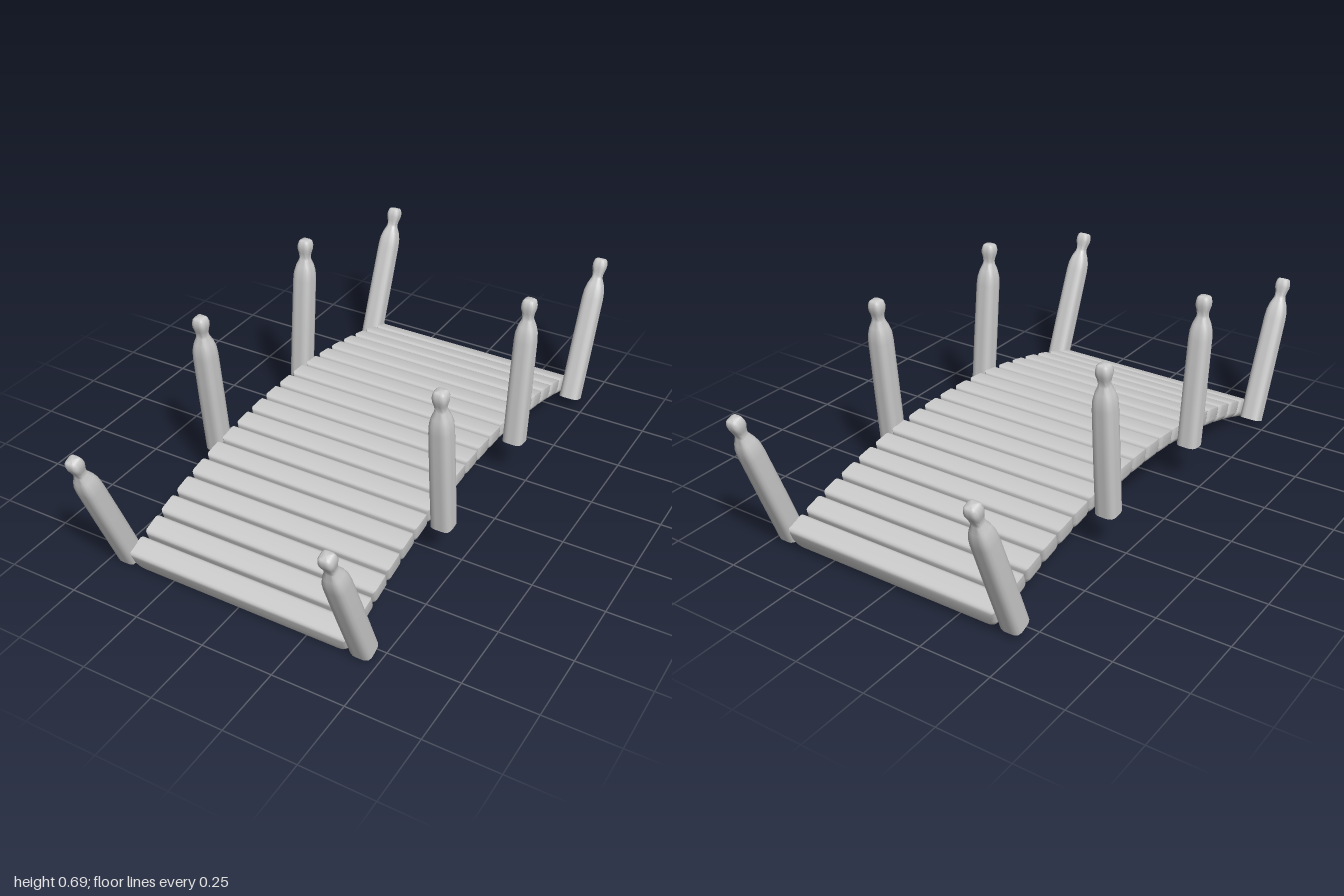
import * as THREE from 'three';
import { mergeVertices, toCreasedNormals } from 'three/addons/utils/BufferGeometryUtils.js';

const material = new THREE.MeshStandardMaterial({ color: 0xcccccc });

// Plank: long board with rounded lower ends and softened edges
function plankGeometry() {
  const bevel = 0.014, w = 0.405 - bevel, h = 0.0375 - bevel, r = 0.032;
  const shape = new THREE.Shape();
  shape.moveTo(w, h);
  shape.lineTo(-w, h);
  shape.lineTo(-w, -h + r);
  shape.quadraticCurveTo(-w, -h, -w + r, -h);
  shape.lineTo(w - r, -h);
  shape.quadraticCurveTo(w, -h, w, -h + r);
  const depth = 0.081 - 2 * bevel;
  const geo = new THREE.ExtrudeGeometry(shape, {
    depth, bevelSize: bevel, bevelThickness: bevel, bevelSegments: 3, curveSegments: 5,
  });
  geo.translate(0, 0, -depth / 2);
  return toCreasedNormals(geo, 0.7);
}

// Post: turned profile pushed out to a rounded square, with neck and knob
function postGeometry() {
  const profile = [
    [0, 0], [0.037, 0], [0.037, 0.2], [0.036, 0.39], [0.034, 0.42], [0.028, 0.445],
    [0.019, 0.468], [0.0175, 0.478], [0.02, 0.493], [0.024, 0.508], [0.0245, 0.522],
    [0.021, 0.537], [0.016, 0.542], [0, 0.543],
  ].map(([r, y]) => new THREE.Vector2(r, y));
  let geo = new THREE.LatheGeometry(profile, 24);
  const p = geo.attributes.position;
  for (let i = 0; i < p.count; i++) {
    const x = p.getX(i), z = p.getZ(i), r = Math.hypot(x, z);
    if (r < 1e-6) continue;
    const k = 1 / Math.pow((x / r) ** 4 + (z / r) ** 4, 0.25);
    p.setX(i, x * k);
    p.setZ(i, z * k);
  }
  geo.deleteAttribute('uv');
  geo.deleteAttribute('normal');
  geo = mergeVertices(geo, 1e-5);
  return toCreasedNormals(geo, 0.8);
}

export function createModel() {
  const model = new THREE.Group();
  model.name = 'archedFootbridge';

  // Deck: planks spaced along a shallow arc
  const deck = new THREE.Group();
  deck.name = 'deck';
  const plankGeo = plankGeometry();
  const radius = 2.36, step = 0.0379, top = 0.193;
  for (let i = -9; i <= 9; i++) {
    const a = i * step;
    const plank = new THREE.Mesh(plankGeo, material);
    plank.name = `plank${i + 10}`;
    plank.position.set(0, top - radius * (1 - Math.cos(a)), radius * Math.sin(a));
    plank.rotation.x = a;
    deck.add(plank);
  }
  deck.rotation.x = 0.01;
  deck.position.z = -0.008;
  model.add(deck);

  // Posts: four leaning pairs, mirrored left and right
  const postGeo = postGeometry();
  const pairs = [
    { name: 'frontPost', z: 0.782, y: 0.022, tilt: 0.385 },
    { name: 'frontMiddlePost', z: 0.273, y: 0.145, tilt: 0.1 },
    { name: 'backMiddlePost', z: -0.267, y: 0.148, tilt: -0.09 },
    { name: 'backPost', z: -0.79, y: 0.034, tilt: -0.368 },
  ];
  for (const { name, z, y, tilt } of pairs) {
    for (const side of [-1, 1]) {
      const post = new THREE.Mesh(postGeo, material);
      post.name = name + (side > 0 ? 'Left' : 'Right');
      post.position.set(side * 0.44, y, z);
      post.rotation.x = tilt;
      model.add(post);
    }
  }
  return model;
}
